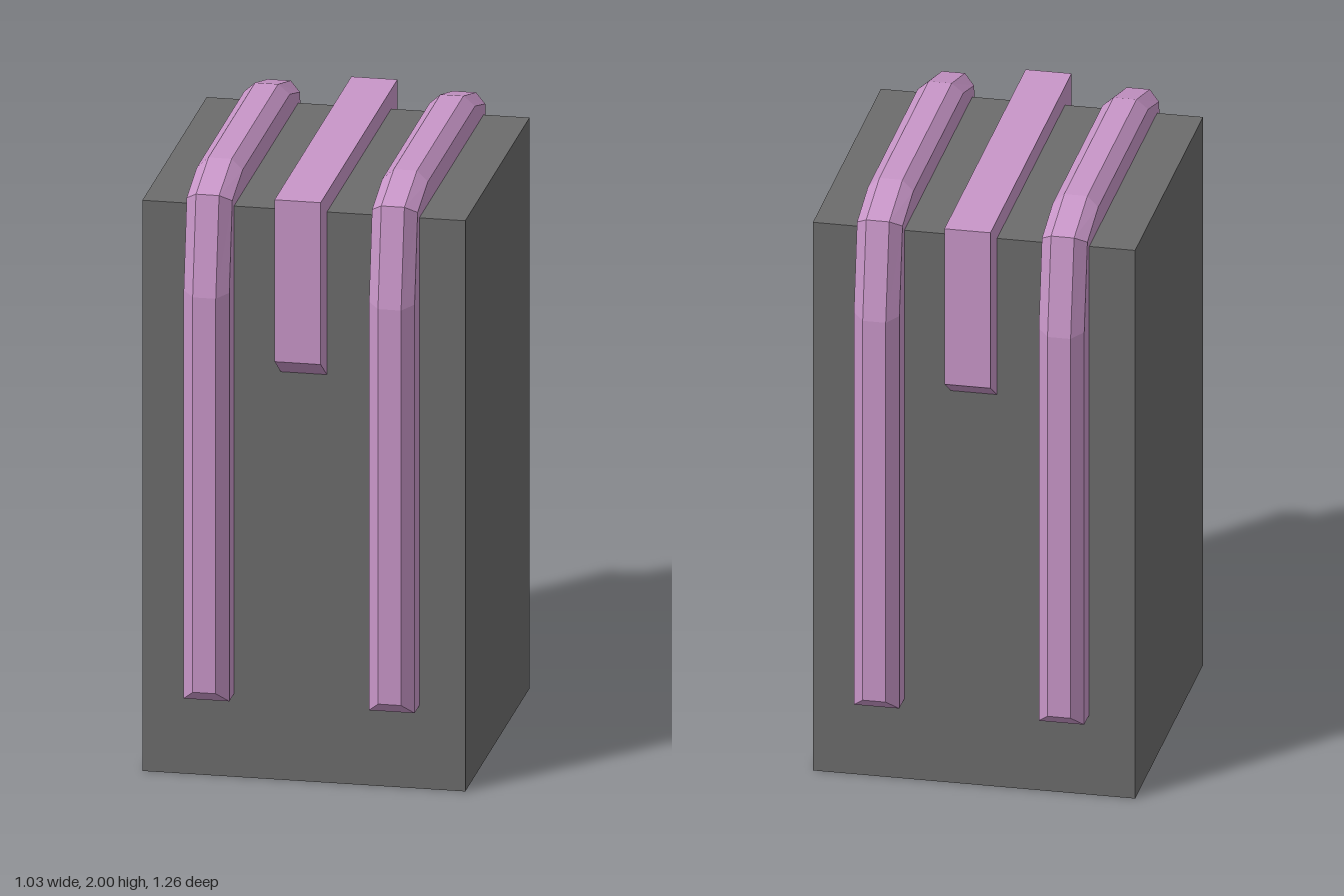
import * as THREE from 'three';

const bodyMaterial = new THREE.MeshStandardMaterial({ color: 0x6c6c6c, flatShading: true });
const strapMaterial = new THREE.MeshStandardMaterial({ color: 0xc896c8, flatShading: true });

// Half of each strap line as [z, y], from the front bottom end to the top
const BASE = [[0.5, 0.275], [0.5, 1.62], [0.5, 1.87], [0.38, 1.87]];
const SHOULDER = [[0.593, 0.275], [0.593, 1.63], [0.545, 1.92], [0.38, 1.967]];
const RIDGE = [[0.63, 0.31], [0.63, 1.62], [0.577, 1.945], [0.375, 2.0]];

// Mirror a half line over to the back
const mirrored = (half) => [...half, ...half.slice().reverse().map(([z, y]) => [-z, y])];

// Chamfered strap lofted through six-sided sections
function strapGeometry(halfWidth, ridgeHalfWidth) {
  const [base, shoulder, ridge] = [BASE, SHOULDER, RIDGE].map(mirrored);
  const positions = [];
  const index = [];
  const count = base.length;
  for (let i = 0; i < count; i++) {
    const section = [
      [-halfWidth, base[i]], [-halfWidth, shoulder[i]], [-ridgeHalfWidth, ridge[i]],
      [ridgeHalfWidth, ridge[i]], [halfWidth, shoulder[i]], [halfWidth, base[i]],
    ];
    for (const [x, [z, y]] of section) positions.push(x, y, z);
  }
  for (let i = 0; i < count - 1; i++) {
    for (let j = 0; j < 6; j++) {
      const a = i * 6 + j;
      const b = i * 6 + ((j + 1) % 6);
      index.push(a, b, b + 6, a, b + 6, a + 6);
    }
  }
  // End caps: flat underside and sloped chamfer
  const end = (count - 1) * 6;
  for (const [a, b, c] of [[0, 5, 4], [0, 4, 1], [1, 4, 3], [1, 3, 2]]) {
    index.push(a, b, c, end + a, end + c, end + b);
  }
  const indexed = new THREE.BufferGeometry();
  indexed.setAttribute('position', new THREE.Float32BufferAttribute(positions, 3));
  indexed.setIndex(index);
  const geometry = indexed.toNonIndexed();
  geometry.computeVertexNormals();
  return geometry;
}

// Square-edged clip bent over the top, with sloped lower ends
function clipGeometry(width) {
  const half = [[0.5, 1.87], [0.5, 1.343], [0.52, 1.355], [0.618, 1.42], [0.618, 1.957]];
  const outline = [
    ...half,
    ...half.slice().reverse().map(([z, y]) => [-z, y]),
  ].map(([z, y]) => new THREE.Vector2(z, y));
  const geometry = new THREE.ExtrudeGeometry(new THREE.Shape(outline), { depth: width, bevelEnabled: false });
  geometry.translate(0, 0, -width / 2);
  geometry.rotateY(-Math.PI / 2);
  return geometry;
}

export function createModel() {
  const group = new THREE.Group();
  const add = (name, geometry, material, x = 0, y = 0) => {
    const mesh = new THREE.Mesh(geometry, material);
    mesh.name = name;
    mesh.position.set(x, y, 0);
    group.add(mesh);
  };

  // Main block
  add('body', new THREE.BoxGeometry(1.035, 1.893, 1.035), bodyMaterial, 0, 1.893 / 2);

  // Pair of long straps
  const strap = strapGeometry(0.073, 0.037);
  add('leftStrap', strap, strapMaterial, 0.297);
  add('rightStrap', strap, strapMaterial, -0.297);

  // Short clip in the middle
  add('centreClip', clipGeometry(0.148), strapMaterial);

  return group;
}
